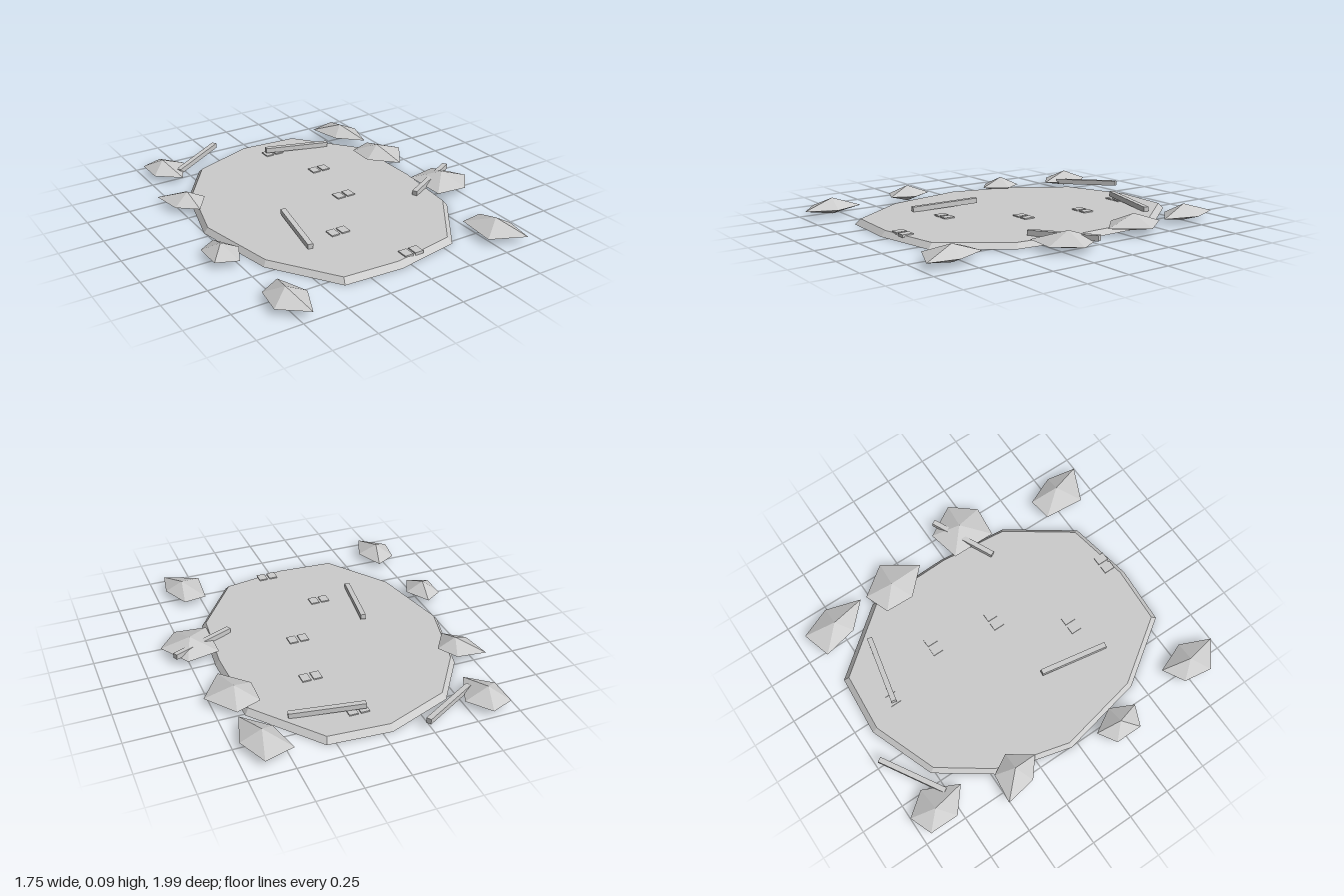
import * as THREE from 'three';

const grey = new THREE.MeshStandardMaterial({ color: 0xcccccc, flatShading: true });
grey.name = 'grey stone';

// Faceted solid: a bottom point, rings of [x, y, z] points (clockwise from above), a top point
function facetedSolid(bottom, rings, top) {
  const positions = [];
  const tri = (...points) => points.forEach((p) => positions.push(...p));
  const n = rings[0].length;
  const last = rings[rings.length - 1];
  for (let i = 0; i < n; i++) {
    const j = (i + 1) % n;
    tri(bottom, rings[0][i], rings[0][j]);
    for (let r = 0; r < rings.length - 1; r++) {
      const lower = rings[r], upper = rings[r + 1];
      tri(lower[i], upper[i], lower[j]);
      tri(lower[j], upper[i], upper[j]);
    }
    tri(top, last[j], last[i]);
  }
  const geometry = new THREE.BufferGeometry();
  geometry.setAttribute('position', new THREE.Float32BufferAttribute(positions, 3));
  geometry.computeVertexNormals();
  return geometry;
}

function addMesh(parent, name, geometry) {
  const mesh = new THREE.Mesh(geometry, grey);
  mesh.name = name;
  parent.add(mesh);
  return mesh;
}

// Irregular twelve-sided ground slab [x, z]
const SLAB = [
  [-0.055, -0.915], [0.3, -0.89], [0.605, -0.51], [0.62, -0.015], [0.58, 0.4], [0.32, 0.77],
  [-0.06, 0.84], [-0.4, 0.82], [-0.655, 0.45], [-0.755, -0.04], [-0.64, -0.48], [-0.435, -0.77],
];

// Rocks: peak [x, z], then the five corners of the rim
const ROCKS = [
  [[-0.63, -0.86], [-0.72, -0.95], [-0.59, -1.0], [-0.49, -0.87], [-0.585, -0.67], [-0.72, -0.78]],
  [[-0.69, -0.38], [-0.82, -0.51], [-0.65, -0.49], [-0.585, -0.375], [-0.68, -0.24], [-0.79, -0.33]],
  [[-0.8, 0.255], [-0.88, 0.18], [-0.775, 0.115], [-0.695, 0.255], [-0.76, 0.39], [-0.88, 0.34]],
  [[-0.73, 0.8], [-0.685, 0.64], [-0.615, 0.815], [-0.69, 0.99], [-0.835, 0.875], [-0.81, 0.71]],
  [[0.59, 0.8], [0.48, 0.66], [0.615, 0.64], [0.69, 0.81], [0.66, 0.985], [0.46, 0.895]],
  [[0.71, 0.175], [0.575, 0.055], [0.765, 0.015], [0.875, 0.2], [0.76, 0.34], [0.575, 0.32]],
  [[0.615, -0.36], [0.505, -0.465], [0.65, -0.52], [0.78, -0.345], [0.645, -0.15], [0.5, -0.295]],
  [[0.595, -0.76], [0.47, -0.89], [0.64, -0.94], [0.715, -0.76], [0.655, -0.555], [0.515, -0.69]],
];

// Beams: low end and raised end [x, z]
const BEAMS = [
  [[-0.38, 0.46], [-0.315, 0.06]],
  [[0.415, -0.64], [0.013, -0.725]],
  [[0.46, 0.245], [0.825, 0.065]],
  [[-0.57, -0.76], [-0.225, -0.97]],
];

// Centres of the tile pairs along the winding path [x, z]
const TILE_PAIRS = [[0.06, -0.72], [0.18, -0.355], [0.114, 0.02], [-0.157, 0.38], [0.045, 0.765]];

export function createModel() {
  const model = new THREE.Group();
  model.name = 'stoneClearing';

  // Slab with a sloping rim
  const cx = -0.07, cz = -0.035, inset = 0.965;
  addMesh(model, 'groundSlab', facetedSolid(
    [cx, 0, cz],
    [
      SLAB.map(([x, z]) => [x, 0, z]),
      SLAB.map(([x, z]) => [cx + (x - cx) * inset, 0.03, cz + (z - cz) * inset]),
    ],
    [cx, 0.03, cz],
  ));

  // Ring of low pointed rocks
  const rocks = new THREE.Group();
  rocks.name = 'rocks';
  ROCKS.forEach(([[px, pz], ...rim]) => addMesh(rocks, 'rock', facetedSolid(
    [px, 0, pz], [rim.map(([x, z]) => [x, 0.04, z])], [px, 0.095, pz],
  )));
  model.add(rocks);

  // Fallen beams, each tilted up at one end
  const beams = new THREE.Group();
  beams.name = 'fallenBeams';
  BEAMS.forEach(([low, high]) => {
    const a = new THREE.Vector3(low[0], 0.043, low[1]);
    const b = new THREE.Vector3(high[0], 0.06, high[1]);
    const beam = addMesh(beams, 'beam', new THREE.BoxGeometry(0.03, 0.03, a.distanceTo(b)));
    beam.position.copy(a).lerp(b, 0.5);
    beam.lookAt(b);
  });
  model.add(beams);

  // Path of paired tiles
  const path = new THREE.Group();
  path.name = 'tilePath';
  const tileGeometry = new THREE.BoxGeometry(0.05, 0.016, 0.065);
  for (const [x, z] of TILE_PAIRS) {
    for (const side of [-1, 1]) {
      addMesh(path, 'tile', tileGeometry).position.set(x + side * 0.0325, 0.029, z);
    }
  }
  model.add(path);

  return model;
}
